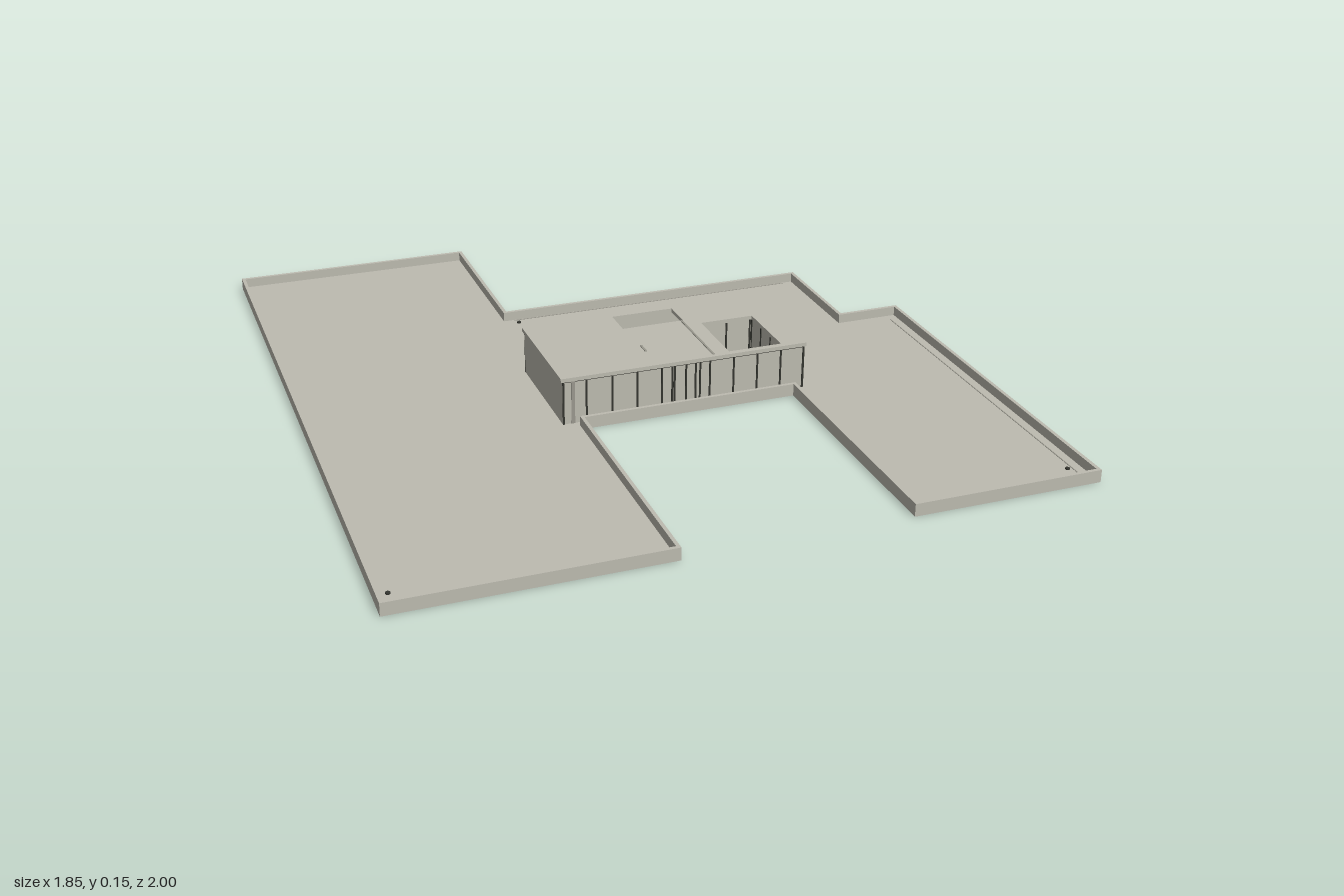
import * as THREE from 'three';

const concrete = new THREE.MeshStandardMaterial({ name: 'pale concrete', color: 0xbdbbb0 });
const shade = new THREE.MeshStandardMaterial({ name: 'stone grey', color: 0x9a988e });
const frame = new THREE.MeshStandardMaterial({ name: 'dark frame', color: 0x34352f });

// Plan outline of the terrace as [x, z], and the openings cut through it and the roof
const outline = [
  [-0.925, 1], [-0.21, 1], [-0.21, 0.285], [0.4, 0.285], [0.4, 1], [0.925, 1],
  [0.925, -0.12], [0.74, -0.12], [0.74, -0.47], [-0.21, -0.47], [-0.21, -1], [-0.925, -1],
];
const rect = (x0, x1, z0, z1) => [[x0, z1], [x1, z1], [x1, z0], [x0, z0]];
const court = rect(0.22, 0.375, 0.04, 0.245);
const well = rect(-0.003, 0.178, -0.085, 0.005);

const toPoints = (plan) => plan.map(([x, z]) => new THREE.Vector2(x, -z));

// Moves every edge of a right-angled plan inwards by t
function inset(plan, t) {
  const n = plan.length;
  const normal = (a, b) => {
    const dx = b[0] - a[0], dz = b[1] - a[1], l = Math.hypot(dx, dz);
    return [dz / l, -dx / l];
  };
  return plan.map((p, i) => {
    const a = normal(plan[(i + n - 1) % n], p);
    const b = normal(p, plan[(i + 1) % n]);
    return [p[0] + (a[0] + b[0]) * t, p[1] + (a[1] + b[1]) * t];
  });
}

// Flat slab from a plan with holes, standing between two heights
function slab(name, plan, holes, y0, y1, material) {
  const shape = new THREE.Shape(toPoints(plan));
  holes.forEach((h) => shape.holes.push(new THREE.Path(toPoints(h))));
  const geo = new THREE.ExtrudeGeometry(shape, { depth: y1 - y0, bevelEnabled: false });
  geo.rotateX(-Math.PI / 2).translate(0, y0, 0);
  const mesh = new THREE.Mesh(geo, material);
  mesh.name = name;
  return mesh;
}

// Box given by its limits on each axis
function block(name, x0, x1, y0, y1, z0, z1, material) {
  const mesh = new THREE.Mesh(new THREE.BoxGeometry(x1 - x0, y1 - y0, z1 - z0), material);
  mesh.position.set((x0 + x1) / 2, (y0 + y1) / 2, (z0 + z1) / 2);
  mesh.name = name;
  return mesh;
}

export function createModel() {
  const model = new THREE.Group();
  model.name = 'pavilionOnTerrace';
  const floor = 0.008, top = 0.035, eave = 0.134, roofTop = 0.145;

  // Terrace deck with its parapet
  model.add(slab('terraceDeck', outline, [court], 0, floor, concrete));
  model.add(slab('parapet', outline, [inset(outline, 0.01)], floor, top, concrete));

  // Drains and gutter lines
  [[-0.89, 0.925], [0.875, 0.925], [-0.18, -0.435]].forEach(([x, z]) => {
    const drain = new THREE.Mesh(new THREE.CylinderGeometry(0.006, 0.006, 0.004, 12), frame);
    drain.position.set(x, floor + 0.002, z);
    drain.name = 'drain';
    model.add(drain);
  });
  model.add(block('sideGutter', 0.888, 0.891, floor, floor + 0.001, -0.08, 0.95, shade));
  model.add(block('backGutter', -0.19, 0.7, floor, floor + 0.001, -0.457, -0.454, shade));

  const house = new THREE.Group();
  house.name = 'pavilion';
  model.add(house);
  const L = -0.262, R = 0.44, B = -0.093, F = 0.257, t = 0.006;

  // Outer walls
  house.add(block('frontWall', L, R, floor, eave, F - t, F, concrete));
  house.add(block('backWall', L, R, floor, eave, B, B + t, concrete));
  house.add(block('leftWall', R - t, R, floor, eave, B, F, concrete));
  house.add(block('rightWall', L, L + t, floor, eave, B, F, concrete));

  // Courtyard walls
  house.add(slab('courtyardWalls', rect(0.216, 0.379, 0.036, 0.249), [court], floor, eave, concrete));

  // Roof with courtyard and stairwell openings
  house.add(slab('roof', rect(-0.268, 0.445, -0.098, 0.262), [court, well], eave, roofTop, concrete));
  house.add(block('stairwellFloor', -0.003, 0.178, floor, floor + 0.004, -0.085, 0.005, shade));
  house.add(block('roofJoint', 0.17, 0.176, roofTop, roofTop + 0.002, 0.005, 0.25, shade));
  house.add(block('roofVent', 0.003, 0.009, roofTop, roofTop + 0.002, 0.13, 0.17, shade));

  // Mullions on the long faces
  const w = 0.0025, p = 0.002;
  const frontX = [-0.26, -0.195, -0.122, -0.05, 0.02, 0.05, 0.057, 0.09, 0.118, 0.131, 0.16, 0.23, 0.3, 0.37, 0.438];
  const backX = [-0.26, -0.2, -0.14, -0.08, -0.02, 0.21, 0.265, 0.325, 0.38, 0.438];
  frontX.forEach((x) => house.add(block('frontMullion', x - w, x + w, floor, eave, F, F + p, frame)));
  backX.forEach((x) => house.add(block('backMullion', x - w, x + w, floor, eave, B - p, B, frame)));
  house.add(block('frontPanel', -0.238, -0.228, floor, eave, F, F + p, shade));

  // Mullions on the glazed end and around the courtyard
  for (let i = 0; i <= 5; i++) {
    const z = B + 0.002 + (i * (F - B - 0.004)) / 5;
    house.add(block('endMullion', R, R + p, floor, eave, z - w, z + w, frame));
  }
  for (let i = 0; i <= 3; i++) {
    const z = 0.045 + i * 0.065;
    house.add(block('courtMullion', 0.22, 0.222, floor, eave, z - w, z + w, frame));
    house.add(block('courtMullion', 0.373, 0.375, floor, eave, z - w, z + w, frame));
  }
  for (let i = 0; i <= 2; i++) {
    const x = 0.225 + i * 0.0725;
    house.add(block('courtMullion', x - w, x + w, floor, eave, 0.04, 0.042, frame));
    house.add(block('courtMullion', x - w, x + w, floor, eave, 0.243, 0.245, frame));
  }

  // Dark shadow rail under the eaves
  house.add(block('frontRail', L, R, eave - 0.003, eave, F, F + p, frame));
  house.add(block('endRail', R, R + p, eave - 0.003, eave, B, F, frame));
  house.add(block('backRail', L, -0.02, eave - 0.003, eave, B - p, B, frame));
  house.add(block('backRail', 0.21, R, eave - 0.003, eave, B - p, B, frame));
  return model;
}
